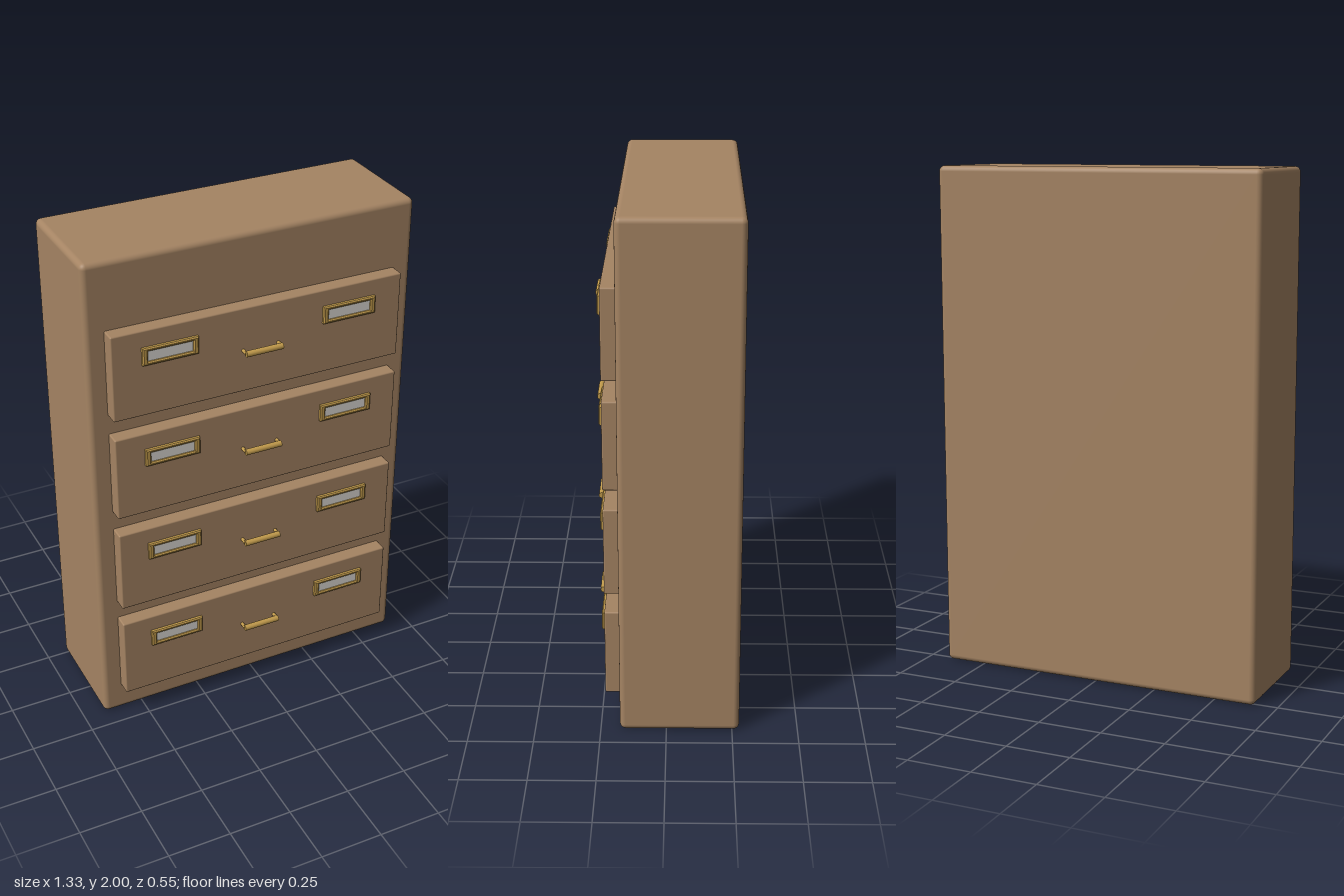
import * as THREE from 'three';
import { RoundedBoxGeometry } from 'three/addons/geometries/RoundedBoxGeometry.js';

const material = (name, color) => {
  const m = new THREE.MeshStandardMaterial({ color });
  m.name = name;
  return m;
};

export function createModel() {
  const wood = material('wood', 0xa58463);
  const brass = material('brass', 0xc19a4b);
  const paper = material('paper', 0xdcdad4);

  const add = (parent, name, geometry, mat, x = 0, y = 0, z = 0) => {
    const mesh = new THREE.Mesh(geometry, mat);
    mesh.name = name;
    mesh.position.set(x, y, z);
    parent.add(mesh);
    return mesh;
  };

  // Label holder: bevelled rectangular frame with an opening
  const rect = (path, w, h) => {
    path.moveTo(-w / 2, -h / 2);
    path.lineTo(w / 2, -h / 2);
    path.lineTo(w / 2, h / 2);
    path.lineTo(-w / 2, h / 2);
    path.closePath();
    return path;
  };
  const outline = rect(new THREE.Shape(), 0.21, 0.06);
  outline.holes.push(rect(new THREE.Path(), 0.188, 0.052));
  const frameGeo = new THREE.ExtrudeGeometry(outline, {
    depth: 0.01, bevelEnabled: true, bevelThickness: 0.004, bevelSize: 0.005, bevelSegments: 1,
  });
  const cardGeo = new THREE.BoxGeometry(0.19, 0.054, 0.006);

  const drawerGeo = new RoundedBoxGeometry(1.18, 0.345, 0.075, 2, 0.006);
  const barGeo = new THREE.CylinderGeometry(0.012, 0.012, 0.15, 16).rotateZ(Math.PI / 2);
  const postGeo = new THREE.CylinderGeometry(0.007, 0.007, 0.03, 12).rotateX(Math.PI / 2);

  const model = new THREE.Group();
  model.name = 'chestOfDrawers';

  // Cabinet body
  add(model, 'cabinet', new RoundedBoxGeometry(1.33, 2, 0.455, 3, 0.022), wood, 0, 1, -0.05);

  // Four drawers, each with two label holders and a pull
  for (let i = 0; i < 4; i++) {
    const drawer = new THREE.Group();
    drawer.name = 'drawer';
    drawer.position.set(0, 0.293 + i * 0.4225, 0);
    model.add(drawer);
    add(drawer, 'drawerFront', drawerGeo, wood, 0, 0, 0.1965);

    for (const side of [-1, 1]) {
      add(drawer, 'labelFrame', frameGeo, brass, side * 0.365, 0.073, 0.236);
      add(drawer, 'labelCard', cardGeo, paper, side * 0.365, 0.073, 0.238);
      add(drawer, 'handlePost', postGeo, brass, side * 0.072, 0, 0.248);
    }
    add(drawer, 'handleBar', barGeo, brass, 0, 0, 0.265);
  }
  return model;
}
